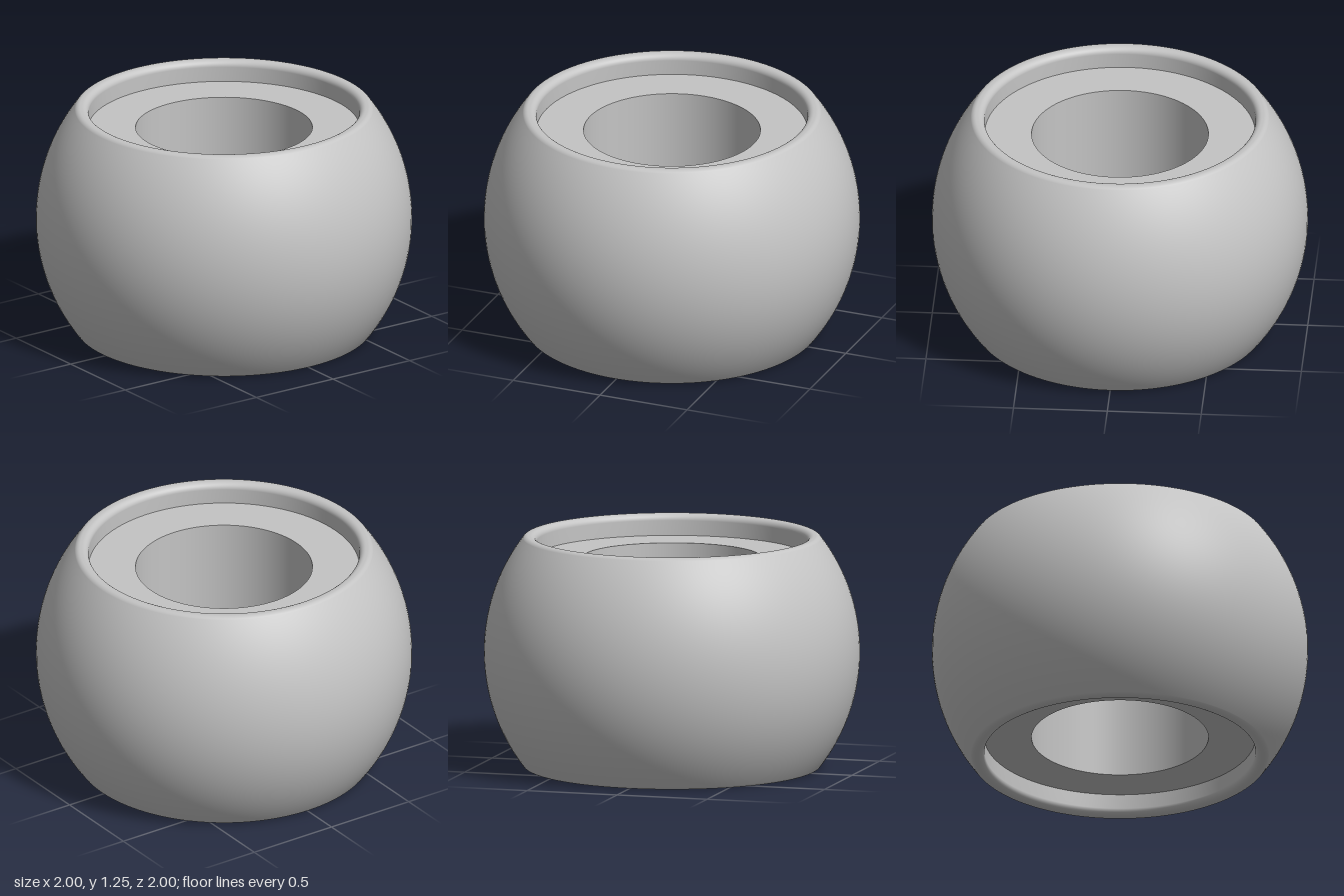
import * as THREE from 'three';

const HALF = 0.6225;    // half height of the bead
const FILLET = 0.035;   // rounding of both rim edges
const RECESS = 0.72;    // recess radius
const BORE = 0.47;      // through-hole radius
const FLOOR = HALF - 0.115;

// Adds points along an arc, start and end included
function arc(points, cx, cy, r, from, to, steps) {
  for (let i = 0; i <= steps; i++) {
    const a = from + ((to - from) * i) / steps;
    points.push(new THREE.Vector2(cx + r * Math.cos(a), cy + r * Math.sin(a)));
  }
}

export function createModel() {
  const grey = new THREE.MeshStandardMaterial({ color: 0xc4c4c4 });
  grey.name = 'light grey';

  const group = new THREE.Group();
  group.name = 'bead';

  const addLathe = (name, points) => {
    const mesh = new THREE.Mesh(new THREE.LatheGeometry(points, 128), grey);
    mesh.name = name;
    mesh.position.y = HALF;
    group.add(mesh);
  };

  // Upper half of the shell: spherical side, rounded rim, recess wall
  const cy = HALF - FILLET;
  const cx = Math.sqrt((1 - FILLET) ** 2 - cy ** 2);
  const tangent = Math.atan2(cy, cx);
  const upper = [];
  arc(upper, 0, 0, 1, 0, tangent, 24);
  upper.pop();
  arc(upper, cx, cy, FILLET, tangent, Math.PI / 2, 8);
  arc(upper, RECESS + FILLET, cy, FILLET, Math.PI / 2, Math.PI, 8);
  upper.push(new THREE.Vector2(RECESS, FLOOR));

  // Mirror it for the lower half
  const lower = upper.slice(1).reverse().map((p) => new THREE.Vector2(p.x, -p.y));
  addLathe('shell', [...lower, ...upper]);

  // Flat recess floors and the bore, kept separate for sharp edges
  const v = (x, y) => new THREE.Vector2(x, y);
  addLathe('topRecessFloor', [v(RECESS, FLOOR), v(BORE, FLOOR)]);
  addLathe('bore', [v(BORE, FLOOR), v(BORE, -FLOOR)]);
  addLathe('bottomRecessFloor', [v(BORE, -FLOOR), v(RECESS, -FLOOR)]);

  return group;
}
